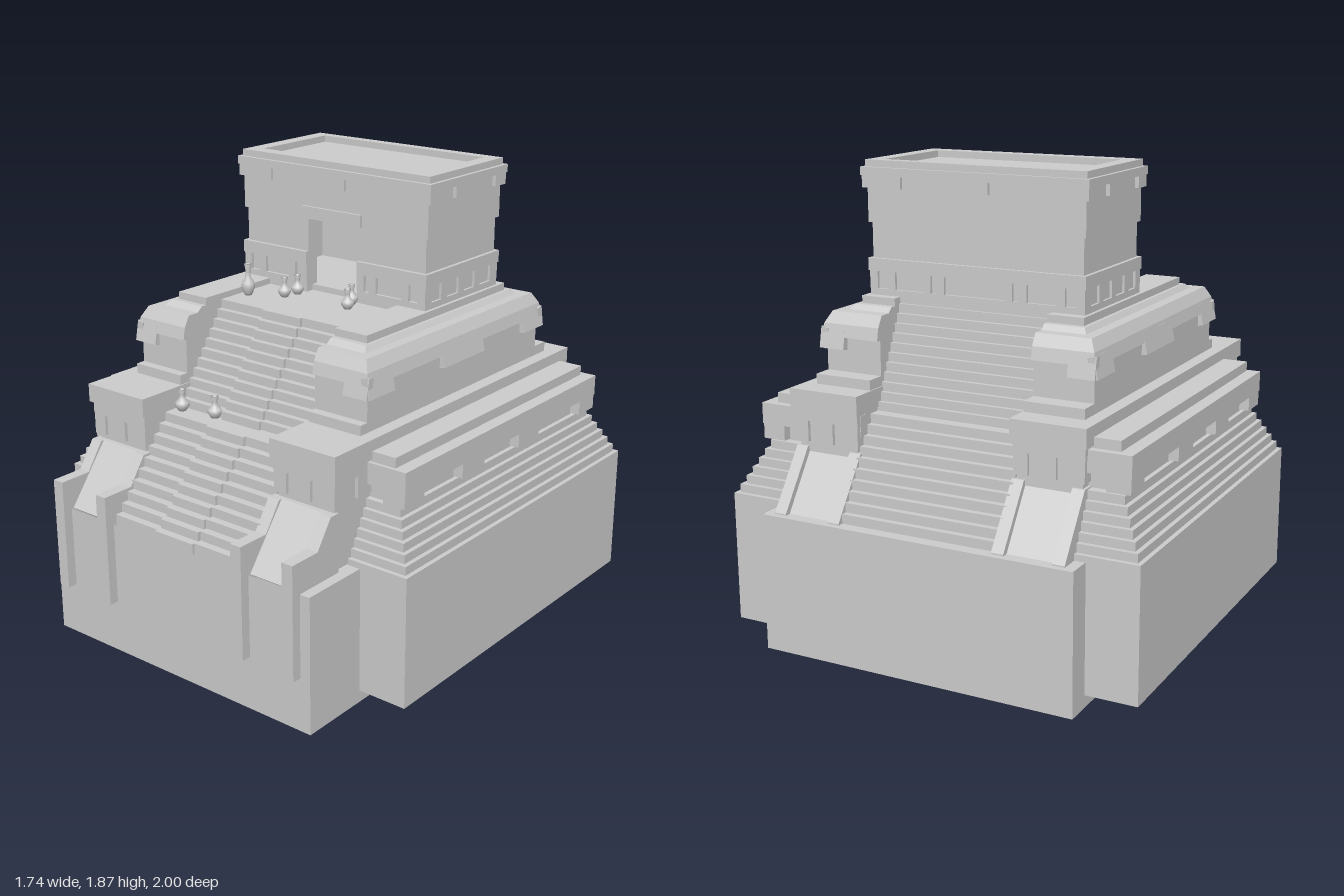
import * as THREE from 'three';

const mat = new THREE.MeshStandardMaterial({ color: 0xcccccc, flatShading: true, side: THREE.DoubleSide });
const smooth = new THREE.MeshStandardMaterial({ color: 0xcccccc, side: THREE.DoubleSide });

export function createModel() {
  const root = new THREE.Group();
  const add = (name, geo, m = mat) => {
    const mesh = new THREE.Mesh(geo, m);
    mesh.name = name;
    root.add(mesh);
    return mesh;
  };
  const box = (name, x0, x1, y0, y1, z0, z1) => {
    const b = add(name, new THREE.BoxGeometry(Math.abs(x1 - x0), y1 - y0, Math.abs(z1 - z0)));
    b.position.set((x0 + x1) / 2, (y0 + y1) / 2, (z0 + z1) / 2);
    return b;
  };
  // side profile of [z, y] points, pulled from x0 to x1
  const sideExtrude = (name, pts, x0, x1) => {
    const shape = new THREE.Shape(pts.map(p => new THREE.Vector2(p[0], p[1])));
    const geo = new THREE.ExtrudeGeometry(shape, { depth: x1 - x0, bevelEnabled: false });
    geo.rotateY(-Math.PI / 2);
    geo.translate(x1, 0, 0);
    return add(name, geo);
  };
  // shell through stacked [x, z] outlines, open below, optionally capped
  const loft = (name, layers, cap) => {
    const pos = [];
    for (let i = 0; i + 1 < layers.length; i++) {
      const a = layers[i], b = layers[i + 1], n = a.pts.length;
      for (let j = 0; j < n; j++) {
        const k = (j + 1) % n;
        const A = [a.pts[j][0], a.y, a.pts[j][1]], B = [a.pts[k][0], a.y, a.pts[k][1]];
        const C = [b.pts[k][0], b.y, b.pts[k][1]], D = [b.pts[j][0], b.y, b.pts[j][1]];
        pos.push(...A, ...B, ...C, ...A, ...C, ...D);
      }
    }
    const top = layers[layers.length - 1];
    if (cap) {
      const v = top.pts.map(p => new THREE.Vector2(p[0], p[1]));
      for (const f of THREE.ShapeUtils.triangulateShape(v, [])) {
        for (const i of f) pos.push(v[i].x, top.y, v[i].y);
      }
    }
    const geo = new THREE.BufferGeometry();
    geo.setAttribute('position', new THREE.Float32BufferAttribute(pos, 3));
    geo.computeVertexNormals();
    return add(name, geo);
  };
  const rect = (h, f, b) => [[h, f], [h, b], [-h, b], [-h, f]];
  // tier footprint with stair notches front and back
  const notched = (h, f, b, n = 0.33, nf = -0.03, nb = -0.49) => [
    [h, f], [h, b], [n, b], [n, nb], [-n, nb], [-n, b],
    [-h, b], [-h, f], [-n, f], [-n, nf], [n, nf], [n, f]];

  // open-bottomed base walls
  const baseOutline = rect(0.87, 0.67, -0.9), plinth = rect(0.662, 0.96, -1);
  loft('baseWalls', [{ y: 0.05, pts: baseOutline }, { y: 0.58, pts: baseOutline }], false);
  loft('stairPlinth', [{ y: 0, pts: plinth }, { y: 0.555, pts: plinth }], false);
  box('plinthBackLedge', -0.66, 0.66, 0.54, 0.555, -1, -0.86);

  // stepped body: each row is [y0, y1, halfWidth, front, back]
  const rows = [];
  for (let i = 1; i < 7; i++) {
    rows.push([0.546 + 0.034 * i, 0.58 + 0.034 * i, 0.87 - 0.018 * i, 0.67 - 0.018 * i, -0.9 + 0.018 * i]);
  }
  rows.push([0.785, 0.85, 0.745, 0.54, -0.76], [0.85, 0.935, 0.79, 0.575, -0.8],
    [0.935, 0.975, 0.735, 0.56, -0.77], [0.975, 1.02, 0.63, 0.56, -0.73], [1.02, 1.06, 0.575, 0.56, -0.73],
    [1.06, 1.2, 0.575, 0.52, -0.65]);
  const layers = [{ y: 0.58, pts: notched(0.87, 0.67, -0.9) }];
  for (const [y0, y1, h, f, b] of rows) {
    layers.push({ y: y0, pts: notched(h, f, b) }, { y: y1, pts: notched(h, f, b) });
  }
  // sloped upper cornice and top ledges
  for (const [y, h, f, b] of [[1.2, 0.588, 0.535, -0.672], [1.25, 0.578, 0.525, -0.662], [1.295, 0.555, 0.5, -0.635],
    [1.295, 0.51, 0.45, -0.585], [1.315, 0.495, 0.425, -0.565], [1.315, 0.48, 0.4, -0.54], [1.345, 0.48, 0.4, -0.54]]) {
    layers.push({ y, pts: notched(h, f, b) });
  }
  loft('steppedBody', layers, true);

  // flights: down from the platform to a landing and to the plinth
  const stairs = (name, zs, x0, x1, shift, dir) => {
    const [zLow, zLand0, zLand1, zTop, zEnd] = zs;
    const pts = [[zLow, 0.54]];
    const flight = (za, zb, ya, yb, n) => {
      for (let i = 0; i < n; i++) {
        const z = za + (zb - za) * i / (n - 1);
        pts.push([z, ya + (yb - ya) * i / n], [z, ya + (yb - ya) * (i + 1) / n]);
      }
    };
    flight(zLow, zLand0, 0.555, 0.93, 10);
    flight(zLand1, zTop, 0.93, 1.32, 11);
    pts.push([zEnd, 1.32]);
    const moved = pts.map(([z, y]) => [z + dir * shift, y]);
    const under = moved.map(([z, y]) => [z - dir * 0.012, y - 0.02]).reverse();
    sideExtrude(name, moved.concat(under), x0, x1);
  };
  const frontZ = [0.945, 0.65, 0.56, 0.31, -0.04], backZ = [-0.95, -0.73, -0.68, -0.51, -0.44];
  stairs('frontStairs', frontZ, -0.335, 0.335, 0, 1);
  stairs('frontStairRunner', frontZ, -0.1, 0.095, 0.013, 1);
  stairs('backStairs', backZ, -0.335, 0.335, 0, -1);

  for (const s of [-1, 1]) {
    const span = (a, b) => s > 0 ? [a, b] : [-b, -a];
    box('plinthSideLedge', ...span(0.6, 0.66), 0.54, 0.555, 0.5, 0.96);
    // ramps and their rails
    sideExtrude('frontRamp', [[0.77, 0.79], [0.95, 0.555], [0.93, 0.54], [0.74, 0.79]], ...span(0.36, 0.6));
    sideExtrude('backRamp', [[-0.79, 0.79], [-0.95, 0.555], [-0.93, 0.54], [-0.76, 0.79]], ...span(0.36, 0.6));
    for (const x of [0.325, 0.567]) {
      sideExtrude('frontRailPost', [[0.74, 0.79], [0.785, 0.79], [0.86, 0.68], [1, 0.68], [1, 0.22], [0.95, 0.22],
        [0.95, 0.53], [0.74, 0.53]], ...span(x, x + 0.05));
      sideExtrude('backRail', [[-0.76, 0.79], [-0.815, 0.79], [-0.975, 0.56], [-0.975, 0.53], [-0.76, 0.53]], ...span(x, x + 0.05));
    }
    // corner piers with toothed caps
    for (const [zIn, zOut] of [[0.48, 0.75], [-0.58, -0.805]]) {
      const d = Math.sign(zOut);
      box('pierShaft', ...span(0.345, 0.605), 0.56, 0.91, zIn, zOut);
      box('pierBand', ...span(0.332, 0.62), 0.895, 0.945, zIn, zOut + d * 0.015);
      box('pierCap', ...span(0.325, 0.63), 0.945, 1.02, zIn, zOut + d * 0.028);
      for (const x of [0.333, 0.447, 0.56]) {
        box('pierTooth', ...span(x, x + 0.058), 0.81, 0.9, zOut - d * 0.04, zOut + d * 0.014);
      }
      for (const x of [0.333, 0.58]) {
        box('pierSideTooth', ...span(x, x + 0.04), 0.81, 0.9, zOut - d * 0.2, zOut - d * 0.12);
      }
    }
    // teeth under the lower cornice
    for (const [z0, z1] of [[0.45, 0.57], [0.05, 0.2], [-0.35, -0.2], [-0.795, -0.68]]) {
      box('lowerCorniceTooth', ...span(0.74, 0.787), 0.79, 0.86, z0, z1);
    }
    for (const z of [0.555, -0.78]) box('lowerCorniceEndTooth', ...span(0.69, 0.787), 0.79, 0.86, z - 0.018, z + 0.018);
    // slanted teeth under the upper cornice
    for (const [z0, z1] of [[0.38, 0.535], [-0.22, 0.06], [-0.67, -0.52]]) {
      box('upperCorniceTooth', ...span(0.562, 0.59), 1.15, 1.235, z0, z1).rotation.z = s * 0.2;
    }
    for (const [z, d] of [[0.523, 1], [-0.66, -1]]) {
      box('upperCorniceEndTooth', ...span(0.48, 0.59), 1.15, 1.235, z - 0.014, z + 0.014).rotation.x = -d * 0.2;
    }

    // temple side and front walls
    box('templeSideWall', ...span(0.4, 0.455), 1.32, 1.82, -0.49, -0.005);
    box('templeSideUpperWall', ...span(0.4, 0.467), 1.63, 1.82, -0.5, 0.003);
    box('templeFrontWall', ...span(0.13, 0.45), 1.32, 1.82, -0.06, -0.005);
    box('templeFrontBand', ...span(0.13, 0.47), 1.44, 1.49, -0.06, 0.012);
    box('templeSideBand', ...span(0.42, 0.47), 1.44, 1.49, -0.505, 0.012);
    box('templeFrontFoot', ...span(0.13, 0.465), 1.32, 1.37, -0.06, 0.008);
    box('templeSideFoot', ...span(0.42, 0.465), 1.32, 1.37, -0.5, 0.008);
    for (const x of [0.13, 0.19, 0.35, 0.43]) {
      for (const z of [0, -0.49]) box('templeFootBlock', ...span(x, x + 0.035), 1.37, 1.44, z - 0.012, z + 0.01);
    }
    for (const z of [-0.035, -0.14, -0.26, -0.375, -0.49]) {
      box('templeSideFootBlock', ...span(0.44, 0.465), 1.37, 1.44, z, z + 0.04);
    }
    // teeth under the roof cornice
    for (const [z0, z1] of [[-0.06, 0.015], [-0.33, -0.16], [-0.515, -0.44]]) {
      box('roofSideTooth', ...span(0.44, 0.483), 1.765, 1.82, z0, z1);
    }
    for (const z of [0.002, -0.5]) box('roofCornerTooth', ...span(0.31, 0.483), 1.765, 1.82, z - 0.015, z + 0.013);
  }

  // rest of the temple
  box('templeBackWall', -0.45, 0.45, 1.32, 1.82, -0.49, -0.43);
  box('templeBackUpperWall', -0.46, 0.46, 1.63, 1.82, -0.5, -0.43);
  box('templeFrontUpperWall', -0.46, 0.46, 1.63, 1.82, -0.06, 0.003);
  box('templeBackBand', -0.47, 0.47, 1.44, 1.49, -0.505, -0.45);
  box('templeBackFoot', -0.465, 0.465, 1.32, 1.37, -0.5, -0.45);
  box('doorLintel', -0.15, 0.15, 1.63, 1.68, -0.06, 0.015);
  for (const z of [0.002, -0.5]) box('roofMiddleTooth', -0.07, 0.07, 1.765, 1.82, z - 0.015, z + 0.013);
  box('roofCornice', -0.487, 0.487, 1.812, 1.845, -0.52, 0.018);
  const rim = new THREE.Shape([[-0.472, -0.003], [0.472, -0.003], [0.472, 0.505], [-0.472, 0.505]].map(p => new THREE.Vector2(...p)));
  rim.holes.push(new THREE.Path([[-0.41, 0.06], [-0.41, 0.46], [0.41, 0.46], [0.41, 0.06]].map(p => new THREE.Vector2(...p))));
  const rimGeo = new THREE.ExtrudeGeometry(rim, { depth: 0.027, bevelEnabled: false });
  rimGeo.rotateX(-Math.PI / 2);
  add('roofRim', rimGeo).position.y = 1.845;

  // vases on the platform and the landing
  const profile = [[0, 0], [0.16, 0], [0.21, 0.08], [0.3, 0.25], [0.27, 0.4], [0.13, 0.56], [0.1, 0.75], [0.16, 1], [0.1, 1], [0.07, 0.8]];
  const vase = new THREE.LatheGeometry(profile.map(p => new THREE.Vector2(...p)), 16);
  for (const [x, y, z, w, h] of [[-0.29, 1.32, 0.19, 0.095, 0.13], [-0.155, 1.32, 0.12, 0.09, 0.08],
    [-0.14, 1.32, 0.055, 0.09, 0.08], [0.155, 1.32, 0.1, 0.09, 0.08], [0.125, 1.32, 0.035, 0.09, 0.08],
    [-0.295, 0.93, 0.59, 0.1, 0.088], [-0.137, 0.93, 0.57, 0.1, 0.088]]) {
    const v = add('vase', vase, smooth);
    v.position.set(x, y, z);
    v.scale.set(w, h, w);
  }
  return root;
}
